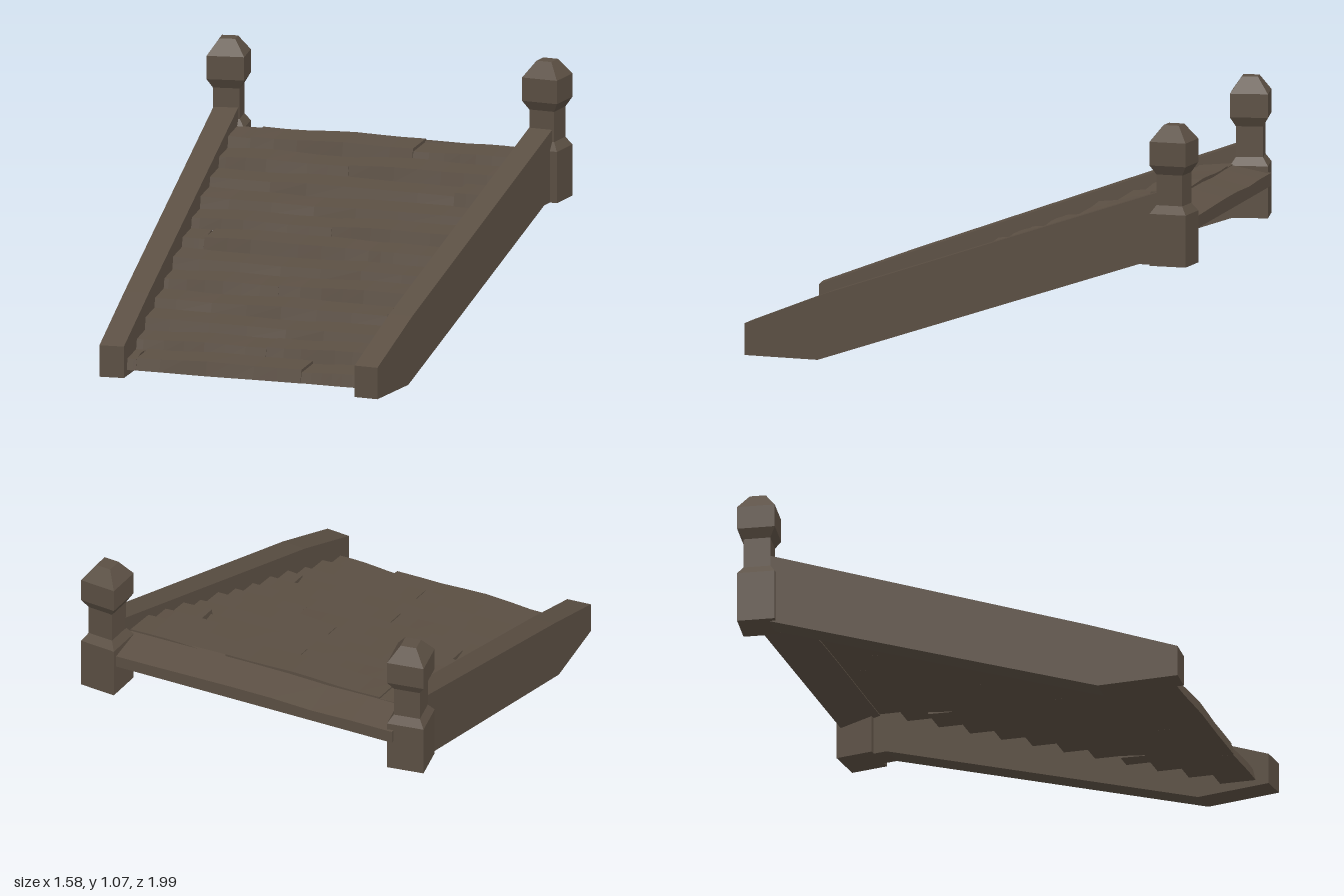
import * as THREE from 'three';

const wood = new THREE.MeshStandardMaterial({ color: 0x5b4f43 });
wood.name = 'weathered wood';

const lerp = THREE.MathUtils.lerp;
// centre line of each side rail
const leftX = z => lerp(-0.508, -0.69, (0.98 - z) / 1.8);
const rightX = z => lerp(0.627, 0.697, (0.96 - z) / 1.82);

function addMesh(parent, geometry, name) {
  const g = geometry.index ? geometry.toNonIndexed() : geometry;
  g.computeVertexNormals();
  const mesh = new THREE.Mesh(g, wood);
  mesh.name = name;
  parent.add(mesh);
  return mesh;
}

// move every vertex by a rule
function warp(geometry, rule) {
  const p = geometry.attributes.position;
  const v = new THREE.Vector3();
  for (let i = 0; i < p.count; i++) {
    v.fromBufferAttribute(p, i);
    rule(v);
    p.setXYZ(i, v.x, v.y, v.z);
  }
  return geometry;
}

// sloping side rail: profile in (z, y), splayed along its centre line
function rail(centre, skew, front, back) {
  const shape = new THREE.Shape([
    [front, 0.005], [front, 0.14], [0.6, 0.285], [back, 0.785],
    [back, 0.475], [-0.78, 0.475], [0.64, 0],
  ].map(([z, y]) => new THREE.Vector2(z, y)));
  const g = new THREE.ExtrudeGeometry(shape, { depth: 0.105, bevelEnabled: false });
  g.rotateY(-Math.PI / 2).translate(0.0525, 0, 0);
  return warp(g, v => {
    const dx = v.x;
    v.x += centre(v.z);
    v.z += dx * skew;
  });
}

// square newel post with narrow neck and blunt pyramid cap: [half width, y]
function post() {
  const profile = [
    [0, 0.475], [0.08, 0.475], [0.08, 0.695], [0.057, 0.73], [0.057, 0.86],
    [0.08, 0.9], [0.08, 1.0], [0.034, 1.067], [0, 1.067],
  ].map(([r, y]) => new THREE.Vector2(r * Math.SQRT2, y));
  return new THREE.LatheGeometry(profile, 4, Math.PI / 4);
}

// worn plank from x0 to x1; rise lifts its rear edge, gap narrows its rear right corner
function plank({ x0, x1, front, bottom, thick, depth, rise, seed, lift = 0, gap = 0 }) {
  const g = new THREE.BoxGeometry(x1 - x0, 1, 1, 7, 1, 1);
  g.translate((x0 + x1) / 2, 0, 0);
  return warp(g, v => {
    const top = v.y > 0;
    const isFront = v.z > 0;
    const wave = Math.sin(v.x * 7 + seed) * 0.6 + Math.sin(v.x * 15 + seed * 2) * 0.4;
    v.y = bottom + (top ? thick + lift + wave * 0.006 : 0) + (isFront ? 0 : rise);
    v.z = front - v.x * 0.037 - (isFront ? 0 : depth);
    if (isFront) v.z += wave * 0.005 - (top ? 0.012 : 0);
    else if (v.x > x1 - 0.001) v.x -= gap;
  });
}

export function createModel() {
  const model = new THREE.Group();
  model.name = 'woodenStairs';

  // side rails
  addMesh(model, rail(leftX, -0.12, 0.985, -0.8), 'rightRail');
  addMesh(model, rail(rightX, 0.05, 0.962, -0.87), 'leftRail');

  // posts at the head of the stairs
  const rightPost = addMesh(model, post(), 'rightPost');
  rightPost.position.set(-0.695, 0, -0.835);
  rightPost.rotation.y = 0.2;
  const leftPost = addMesh(model, post(), 'leftPost');
  leftPost.position.set(0.705, 0, -0.918);
  leftPost.rotation.y = -0.05;

  // treads, each row cut at its joints: [x, width of the rear gap]
  const joints = [
    [[-0.42, 0.025], [0.31, 0]], [[0.1, 0]], [], [[0.525, 0.02]],
    [[-0.01, 0]], [], [[-0.45, 0.02], [0.28, 0]], [[0.06, 0]],
    [], [[0.495, 0.02]], [[-0.03, 0]], [[-0.52, 0], [0.2, 0]],
  ];
  const treads = new THREE.Group();
  treads.name = 'treads';
  model.add(treads);
  joints.forEach((cuts, row) => {
    const front = 0.918 - row * 0.1423;
    const ends = [...cuts, [rightX(front - 0.07), 0]];
    let x0 = leftX(front - 0.07);
    ends.forEach(([x1, gap], piece) => {
      addMesh(treads, plank({
        x0, x1, front, gap, bottom: 0.03 + row * 0.0555, thick: 0.048, depth: 0.158,
        rise: 0.012, seed: row * 2.3 + piece * 1.7, lift: piece === 1 ? 0.008 : 0,
      }), 'plank');
      x0 = x1;
    });
  });

  // head board, tipped down behind the last tread
  addMesh(model, plank({
    x0: -0.66, x1: 0.66, front: -0.785, bottom: 0.645, thick: 0.055, depth: 0.175,
    rise: -0.035, seed: 1,
  }), 'headBoard');

  return model;
}
